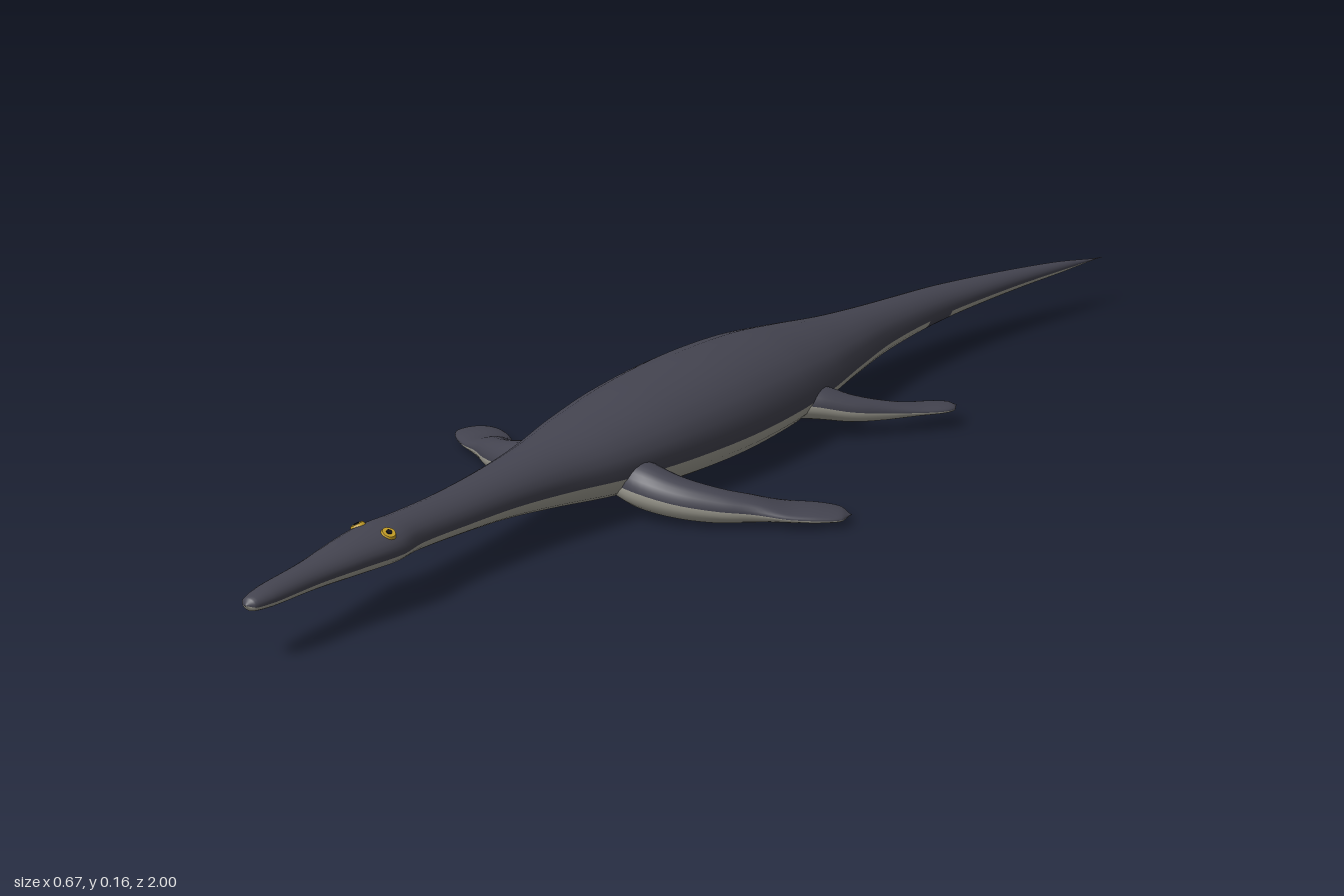
import * as THREE from 'three';

const SIDES = 24;

// Smooth tube with elliptical sections; stations are [x, y, z, halfWidth, halfHeight].
// isBelly(degrees, x, z) picks the pale material for a face.
function loft(name, stations, steps, materials, isBelly) {
  const path = new THREE.CatmullRomCurve3(stations.map(s => new THREE.Vector3(s[0], s[1], s[2])), false, 'centripetal');
  const sizes = new THREE.SplineCurve(stations.map(s => new THREE.Vector2(s[3], s[4])));
  const positions = [], back = [], belly = [];
  for (let i = 0; i <= steps; i++) {
    const t = i / steps;
    const p = path.getPoint(t), tangent = path.getTangent(t), size = sizes.getPoint(t);
    const side = new THREE.Vector3(-tangent.z, 0, tangent.x).normalize();
    const w = Math.max(size.x, 0.0004), h = Math.max(size.y, 0.0004);
    for (let j = 0; j < SIDES; j++) {
      const a = j / SIDES * Math.PI * 2;
      positions.push(
        p.x + side.x * w * Math.cos(a),
        p.y + h * Math.sin(a),
        p.z + side.z * w * Math.cos(a));
      if (i === steps) continue;
      const k = (j + 1) % SIDES;
      const A = i * SIDES + j, B = i * SIDES + k, C = A + SIDES, D = B + SIDES;
      const list = isBelly((j + 0.5) / SIDES * 360, p.x, p.z) ? belly : back;
      list.push(A, C, B, B, C, D);
    }
  }
  const geometry = new THREE.BufferGeometry();
  geometry.setAttribute('position', new THREE.Float32BufferAttribute(positions, 3));
  geometry.setIndex([...back, ...belly]);
  geometry.addGroup(0, back.length, 0);
  geometry.addGroup(back.length, belly.length, 1);
  geometry.computeVertexNormals();
  const mesh = new THREE.Mesh(geometry, materials);
  mesh.name = name;
  return mesh;
}

function makeMaterial(name, color) {
  const material = new THREE.MeshStandardMaterial({ color });
  material.name = name;
  return material;
}

export function createModel() {
  const model = new THREE.Group();
  model.name = 'marineReptile';
  const slate = makeMaterial('slateBack', 0x444450);
  const pale = makeMaterial('paleBelly', 0xa3a196);
  const yellow = makeMaterial('yellowEye', 0xc9a227);
  const black = makeMaterial('blackPupil', 0x15151a);
  const skin = [slate, pale];

  // Snout, head, neck, trunk and the tail that bends to the left
  const body = [
    [0, 0.085, 1.0, 0, 0],
    [0, 0.085, 0.992, 0.012, 0.009],
    [0, 0.086, 0.96, 0.019, 0.014],
    [0, 0.088, 0.88, 0.024, 0.018],
    [0, 0.09, 0.8, 0.036, 0.024],
    [0, 0.09, 0.74, 0.043, 0.027],
    [0, 0.09, 0.69, 0.036, 0.027],
    [0, 0.088, 0.6, 0.038, 0.029],
    [0, 0.087, 0.5, 0.045, 0.035],
    [0, 0.085, 0.4, 0.06, 0.046],
    [0, 0.084, 0.3, 0.085, 0.059],
    [0, 0.084, 0.18, 0.104, 0.072],
    [0, 0.084, 0.03, 0.113, 0.079],
    [0, 0.084, -0.11, 0.107, 0.075],
    [0.002, 0.084, -0.22, 0.09, 0.063],
    [0.005, 0.084, -0.32, 0.066, 0.051],
    [0.006, 0.085, -0.42, 0.048, 0.041],
    [0.009, 0.086, -0.52, 0.039, 0.033],
    [0.015, 0.086, -0.62, 0.033, 0.027],
    [0.03, 0.086, -0.72, 0.026, 0.021],
    [0.05, 0.086, -0.82, 0.018, 0.015],
    [0.073, 0.086, -0.91, 0.01, 0.009],
    [0.1, 0.086, -1.0, 0, 0],
  ];
  // The pale underside is broken by one dark band on the tail
  model.add(loft('body', body, 132, skin, (deg, x, z) =>
    deg > 195 && deg < 345 && !(z < -0.54 && z > -0.61)));

  // Front and rear paddles for the left side, mirrored to the right
  const frontFlipper = [
    [0.04, 0.06, 0.265, 0.03, 0.03],
    [0.09, 0.053, 0.272, 0.034, 0.033],
    [0.14, 0.042, 0.262, 0.031, 0.029],
    [0.19, 0.033, 0.237, 0.027, 0.024],
    [0.225, 0.028, 0.208, 0.029, 0.018],
    [0.26, 0.022, 0.178, 0.037, 0.011],
    [0.295, 0.019, 0.15, 0.037, 0.009],
    [0.322, 0.017, 0.132, 0.027, 0.006],
    [0.334, 0.016, 0.124, 0, 0],
  ];
  const rearFlipper = [
    [0.04, 0.065, -0.13, 0.03, 0.03],
    [0.09, 0.058, -0.165, 0.029, 0.026],
    [0.13, 0.047, -0.195, 0.022, 0.02],
    [0.165, 0.04, -0.235, 0.018, 0.014],
    [0.19, 0.036, -0.275, 0.023, 0.009],
    [0.21, 0.034, -0.307, 0.025, 0.007],
    [0.22, 0.033, -0.325, 0.017, 0.005],
    [0.226, 0.033, -0.334, 0, 0],
  ];
  for (const [label, s] of [['left', 1], ['right', -1]]) {
    const mirror = rows => rows.map(r => [r[0] * s, ...r.slice(1)]);
    // The right front paddle has a dark tip underneath
    model.add(loft(label + 'FrontFlipper', mirror(frontFlipper), 40, skin,
      (deg, x) => deg > 180 && x > -0.285));
    model.add(loft(label + 'RearFlipper', mirror(rearFlipper), 36, skin, deg => deg > 180));

    // Eye: thin yellow disc with a smaller dark pupil
    const eye = new THREE.Group();
    eye.name = label + 'Eye';
    const iris = new THREE.Mesh(new THREE.CylinderGeometry(0.009, 0.011, 0.005, 16), yellow);
    iris.name = 'iris';
    const pupil = new THREE.Mesh(new THREE.CylinderGeometry(0.004, 0.004, 0.002, 12), black);
    pupil.name = 'pupil';
    pupil.position.y = 0.0028;
    eye.add(iris, pupil);
    eye.position.set(0.026 * s, 0.1115, 0.75);
    eye.quaternion.setFromUnitVectors(new THREE.Vector3(0, 1, 0), new THREE.Vector3(0.45 * s, 0.88, 0.1).normalize());
    model.add(eye);
  }
  return model;
}
